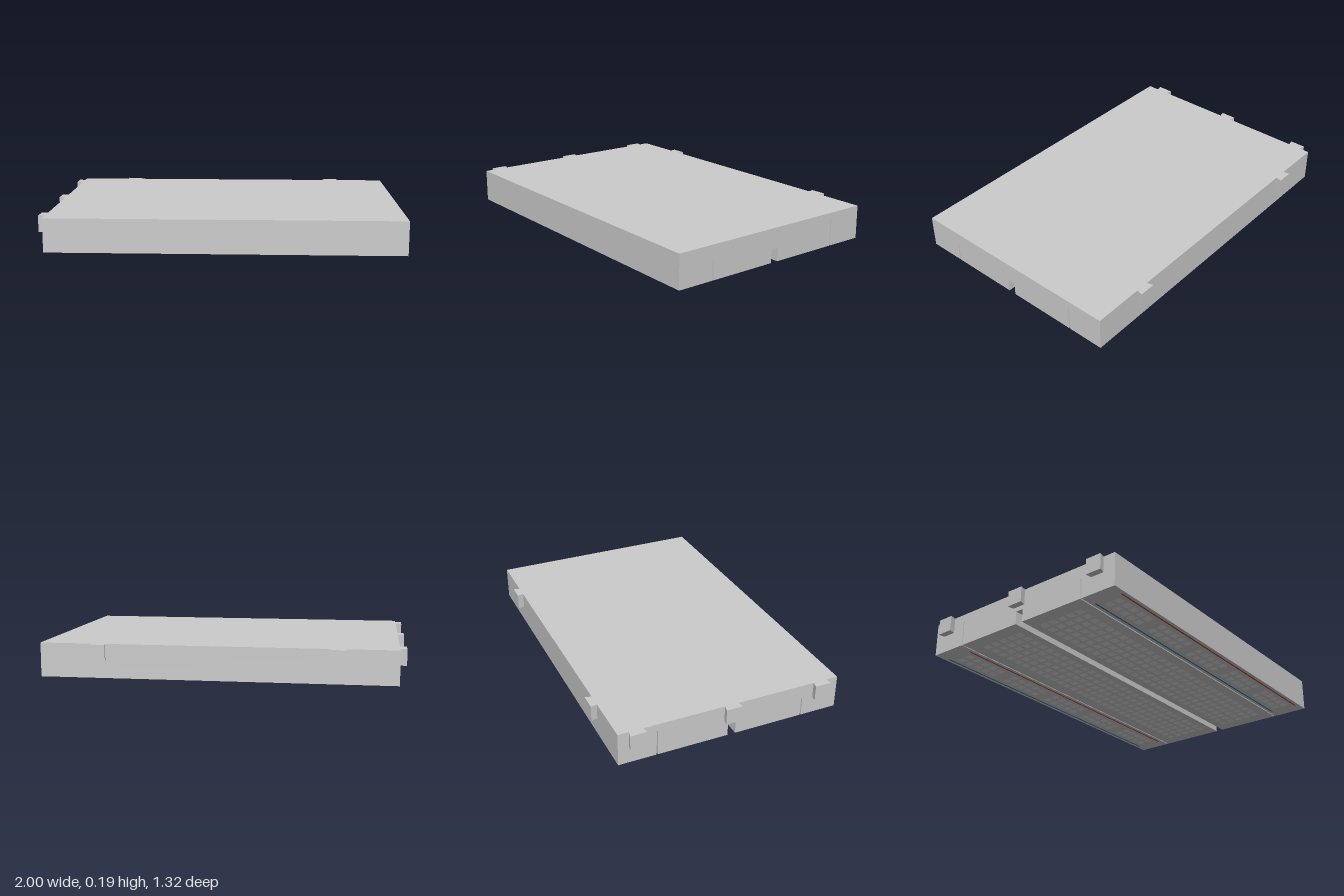
import * as THREE from 'three';
import { mergeGeometries } from 'three/addons/utils/BufferGeometryUtils.js';

const H = 0.19, X0 = -0.965, X1 = 1, XC = (X0 + X1) / 2, PITCH = 0.0605, HOLE = 0.042;
const grey = new THREE.MeshStandardMaterial({ color: 0xcccccc, flatShading: true });
const pale = new THREE.MeshStandardMaterial({ color: 0xffffff, flatShading: true, side: THREE.DoubleSide });
const red = new THREE.MeshStandardMaterial({ color: 0xb03a2e });
const blue = new THREE.MeshStandardMaterial({ color: 0x2e6f9e });

function add(group, name, geometry, material = grey) {
  const mesh = new THREE.Mesh(geometry, material);
  mesh.name = name;
  group.add(mesh);
  return mesh;
}

function box(x0, x1, y0, y1, z0, z1) {
  return new THREE.BoxGeometry(x1 - x0, y1 - y0, z1 - z0)
    .translate((x0 + x1) / 2, (y0 + y1) / 2, (z0 + z1) / 2);
}

// A block whose underside is pierced by square, tapering sockets
function socketBlock(name, z0, z1, columns, rows) {
  const block = new THREE.Group();
  block.name = name;

  const shell = box(X0, X1, 0, H, z0, z1);
  const index = Array.from(shell.index.array);
  index.splice(18, 6); // leave the underside open for the pierced face
  shell.setIndex(index);
  shell.clearGroups();
  add(block, 'shell', shell);

  const face = new THREE.Shape();
  face.moveTo(X0, z0).lineTo(X1, z0).lineTo(X1, z1).lineTo(X0, z1).closePath();
  const funnels = [], r = HOLE / 2;
  for (const x of columns) for (const z of rows) {
    const hole = new THREE.Path();
    hole.moveTo(x - r, z - r).lineTo(x - r, z + r).lineTo(x + r, z + r).lineTo(x + r, z - r).closePath();
    face.holes.push(hole);
    funnels.push(new THREE.ConeGeometry(r * Math.SQRT2, 0.03, 4, 1, true)
      .rotateY(Math.PI / 4).translate(x, 0.015, z));
  }
  // Shape y becomes z and the face looks down
  add(block, 'piercedUnderside', new THREE.ShapeGeometry(face).rotateX(Math.PI / 2));
  add(block, 'sockets', mergeGeometries(funnels), pale);
  return block;
}

// Dovetail tab pointing to -z, narrow at its root
function dovetail() {
  const s = new THREE.Shape();
  s.moveTo(-0.039, -0.01).lineTo(0.039, -0.01).lineTo(0.039, 0).lineTo(0.047, 0.036)
    .lineTo(-0.047, 0.036).lineTo(-0.039, 0).closePath();
  return new THREE.ExtrudeGeometry(s, { depth: 0.09, bevelEnabled: false })
    .rotateX(-Math.PI / 2).translate(0, 0.1, 0);
}

export function createModel() {
  const model = new THREE.Group();
  model.name = 'solderlessCircuitBoard';

  // Column positions: 30 in the main field, five groups of five in each rail
  const mainColumns = Array.from({ length: 30 }, (_, i) => XC + (i - 14.5) * PITCH);
  const railColumns = Array.from({ length: 25 }, (_, i) => XC + (i + Math.floor(i / 5) - 14) * PITCH);

  // Main field in two halves, either side of the centre channel
  const channel = [-0.003, 0.042], mid = 0.0195;
  const rows = [1.5, 2.5, 3.5, 4.5, 5.5].map(k => k * PITCH);
  model.add(socketBlock('mainFieldFront', channel[1], 0.441, mainColumns, rows.map(d => mid + d)));
  model.add(socketBlock('mainFieldBack', -0.406, channel[0], mainColumns, rows.map(d => mid - d)));
  add(model, 'channelRoof', box(X0, X1, 0.075, H, channel[0], channel[1]));

  // Power rails with their coloured stripes
  const rails = [['frontRail', 0.447, 0.66], ['backRail', -0.625, -0.412]];
  for (const [name, z0, z1] of rails) {
    const c = (z0 + z1) / 2;
    model.add(socketBlock(name, z0, z1, railColumns, [c - PITCH / 2, c + PITCH / 2]));
    for (const [side, material, label] of [[1, red, 'RedStripe'], [-1, blue, 'BlueStripe']]) {
      const z = c + side * 0.083;
      add(model, name + label, box(XC - 0.9, XC + 0.9, -0.001, 0.001, z - 0.004, z + 0.004), material);
    }
  }

  // Joints closing the upper part of the narrow rail gaps
  add(model, 'frontRailJoint', box(X0, X1, 0.11, H, 0.441, 0.447));
  add(model, 'backRailJoint', box(X0, X1, 0.15, H, -0.412, -0.406));

  // Interlocking tabs on the back and on the -x end
  for (const x of [-0.64, 0.67]) add(model, 'backTab', dovetail()).position.set(x, 0, -0.625);
  for (const z of [-0.525, 0.0135, 0.55]) {
    const tab = add(model, 'endTab', dovetail());
    tab.rotation.y = Math.PI / 2;
    tab.position.set(X0, 0, z);
  }
  return model;
}
